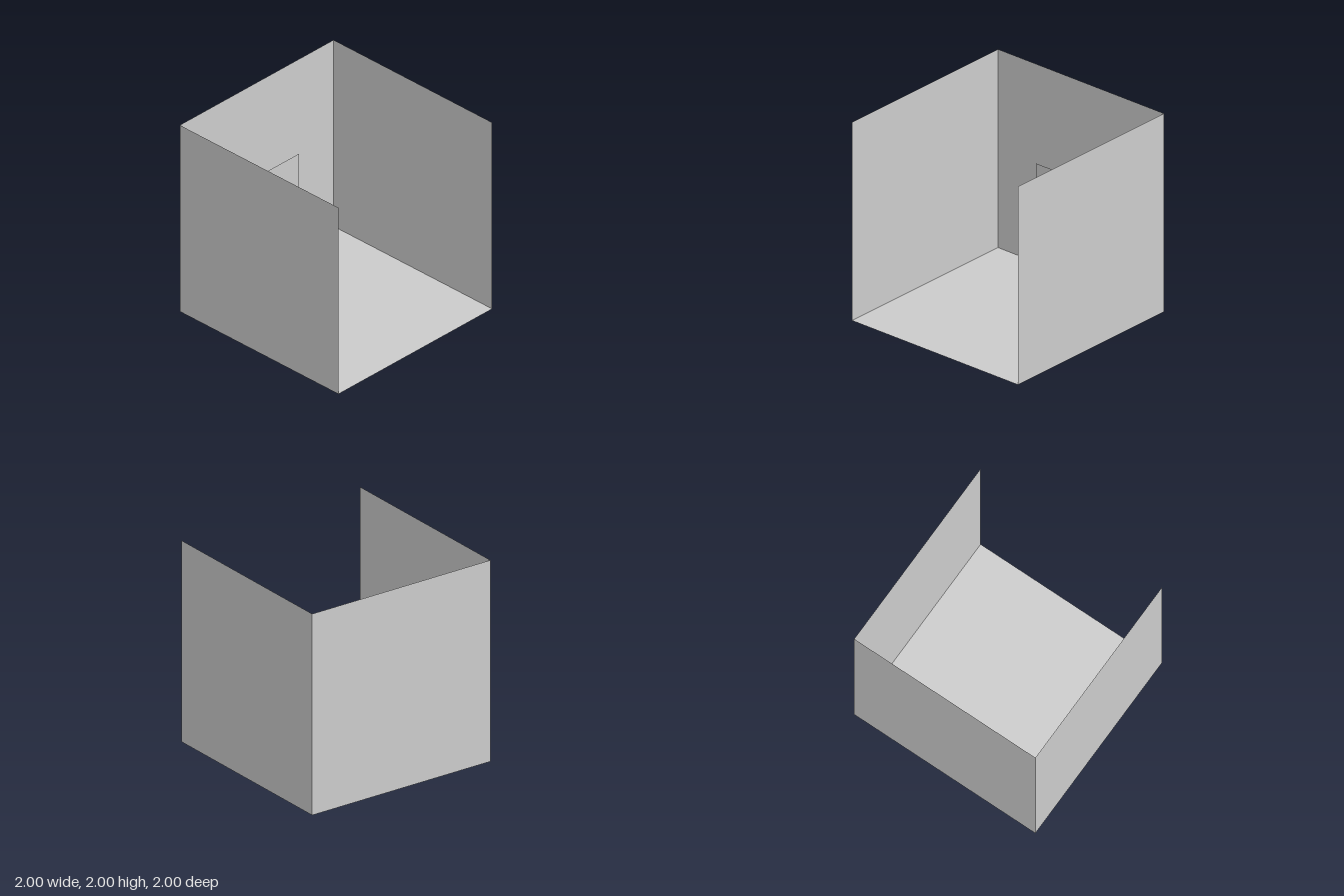
import * as THREE from 'three';

const material = new THREE.MeshStandardMaterial({ color: 0xcccccc, side: THREE.DoubleSide });

// Smooth body part from elliptical rings [x, y, z, rx, rz], listed bottom to top
function loft(name, rings, mirror = 1, sides = 16) {
  const positions = [], index = [];
  rings.forEach(([x, y, z, rx, rz], i) => {
    for (let j = 0; j < sides; j++) {
      const a = (j / sides) * Math.PI * 2;
      positions.push(mirror * x + rx * Math.cos(a), y, z + rz * Math.sin(a));
      if (i === rings.length - 1) continue;
      const p = i * sides + j, q = i * sides + (j + 1) % sides;
      index.push(p, p + sides, q, q, p + sides, q + sides);
    }
  });
  const geometry = new THREE.BufferGeometry();
  geometry.setAttribute('position', new THREE.Float32BufferAttribute(positions, 3));
  geometry.setIndex(index);
  geometry.computeVertexNormals();
  const mesh = new THREE.Mesh(geometry, material);
  mesh.name = name;
  return mesh;
}

// Flat thin sheet
function sheet(name, width, height, position, rotation = [0, 0, 0]) {
  const mesh = new THREE.Mesh(new THREE.PlaneGeometry(width, height), material);
  mesh.name = name;
  mesh.position.set(...position);
  mesh.rotation.set(...rotation);
  return mesh;
}

// Standing person, one unit tall, facing +z
function createFigure() {
  const figure = new THREE.Group();
  figure.name = 'standingFigure';

  figure.add(loft('torso', [
    [0, 0.46, 0, 0.02, 0.02],
    [0, 0.48, -0.005, 0.075, 0.055],
    [0, 0.53, -0.01, 0.092, 0.065],
    [0, 0.58, 0, 0.083, 0.055],
    [0, 0.63, 0.005, 0.074, 0.05],
    [0, 0.70, 0.005, 0.09, 0.06],
    [0, 0.76, 0.005, 0.104, 0.066],
    [0, 0.81, 0, 0.108, 0.052],
    [0, 0.835, -0.008, 0.07, 0.038],
    [0, 0.85, -0.008, 0.032, 0.032],
    [0, 0.89, 0, 0.028, 0.03],
  ]));

  figure.add(loft('head', [
    [0, 0.865, 0.025, 0.005, 0.005],
    [0, 0.872, 0.022, 0.022, 0.026],
    [0, 0.90, 0.012, 0.035, 0.046],
    [0, 0.94, 0.008, 0.041, 0.053],
    [0, 0.97, 0.004, 0.037, 0.048],
    [0, 0.992, 0, 0.022, 0.028],
    [0, 1, 0, 0, 0],
  ]));

  for (const [side, s] of [['left', 1], ['right', -1]]) {
    figure.add(loft(side + 'Leg', [
      [0.06, 0, 0.035, 0, 0],
      [0.06, 0, 0.035, 0.03, 0.07],
      [0.059, 0.02, 0.028, 0.029, 0.062],
      [0.057, 0.045, 0, 0.022, 0.03],
      [0.056, 0.08, -0.012, 0.021, 0.024],
      [0.056, 0.17, -0.015, 0.034, 0.04],
      [0.055, 0.22, -0.012, 0.035, 0.04],
      [0.053, 0.28, 0, 0.031, 0.034],
      [0.05, 0.36, 0.004, 0.04, 0.048],
      [0.048, 0.45, 0, 0.046, 0.058],
      [0.047, 0.51, 0, 0.046, 0.056],
      [0.045, 0.55, 0, 0.02, 0.03],
    ], s));

    figure.add(loft(side + 'Arm', [
      [0.166, 0.40, 0.035, 0, 0],
      [0.166, 0.405, 0.035, 0.01, 0.015],
      [0.168, 0.44, 0.03, 0.014, 0.026],
      [0.165, 0.475, 0.022, 0.014, 0.022],
      [0.16, 0.50, 0.018, 0.015, 0.016],
      [0.15, 0.58, 0, 0.023, 0.026],
      [0.144, 0.63, -0.008, 0.023, 0.025],
      [0.134, 0.70, -0.006, 0.027, 0.031],
      [0.12, 0.77, 0, 0.032, 0.037],
      [0.108, 0.81, 0, 0.028, 0.034],
      [0.095, 0.83, 0, 0, 0],
    ], s));
  }
  return figure;
}

export function createModel() {
  const room = new THREE.Group();
  room.name = 'room';

  // Open room: floor and three walls, no ceiling or front
  room.add(sheet('floor', 2, 2, [0, 0, 0], [-Math.PI / 2, 0, 0]));
  room.add(sheet('backWall', 2, 2, [0, 1, -1]));
  room.add(sheet('leftWall', 2, 2, [1, 1, 0], [0, -Math.PI / 2, 0]));
  room.add(sheet('rightWall', 2, 2, [-1, 1, 0], [0, Math.PI / 2, 0]));

  // Square panel just in front of the back wall
  room.add(sheet('displayPanel', 1, 1, [0, 0.53, -0.95]));

  const figure = createFigure();
  figure.scale.setScalar(0.22);
  figure.position.set(0.236, 0, -0.73);
  room.add(figure);
  return room;
}
